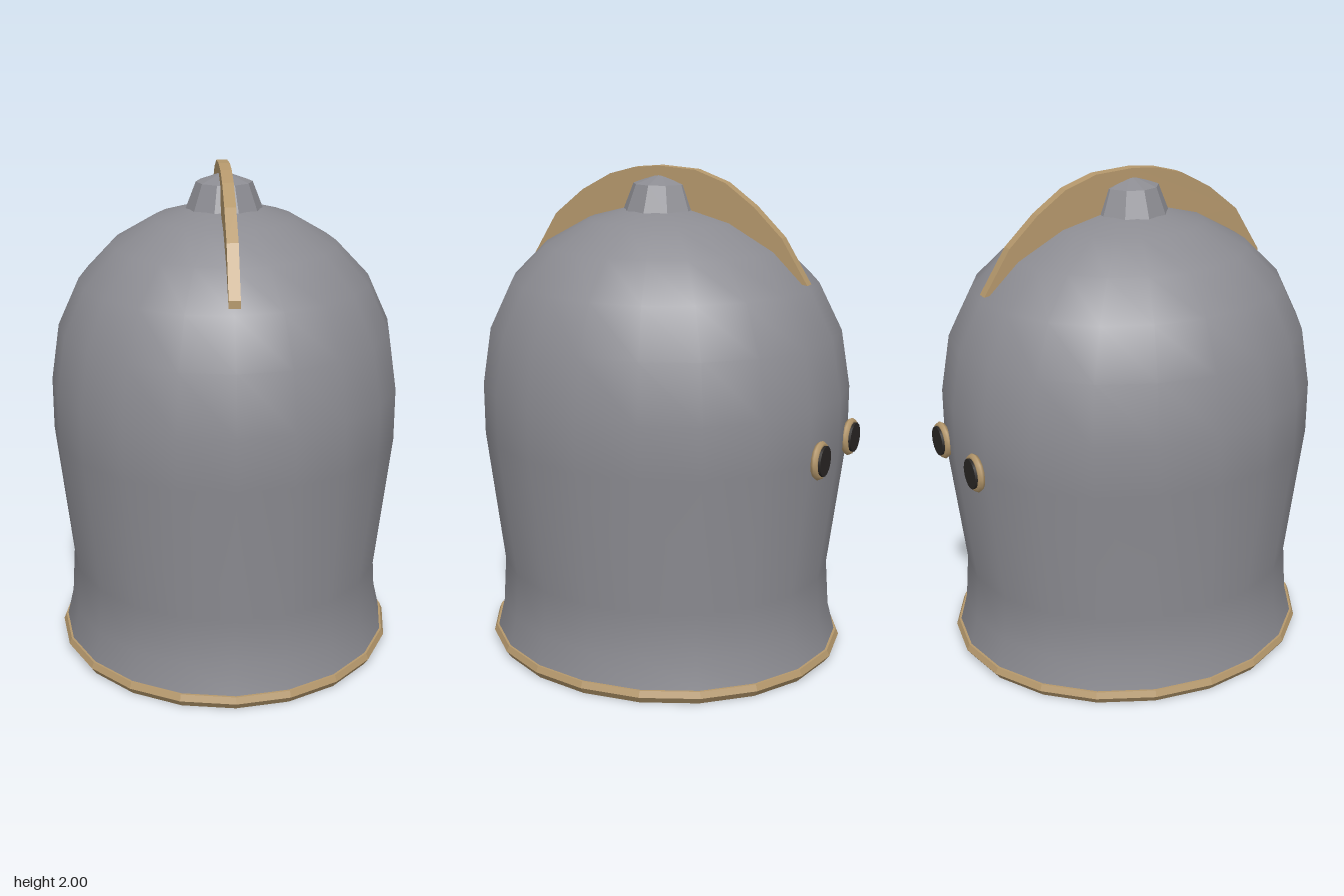
import * as THREE from 'three';
import { mergeVertices } from 'three/addons/utils/BufferGeometryUtils.js';

const SIDES = 20;
const CENTRE_Z = 0.02;

function part(name, geometry, color, flatShading = false) {
  const material = new THREE.MeshStandardMaterial({ color, flatShading });
  const mesh = new THREE.Mesh(geometry, material);
  mesh.name = name;
  return mesh;
}

// Lathe with an oval plan, a little deeper at the back than at the front
function ovalLathe(profile) {
  let geometry = new THREE.LatheGeometry(profile.map(([r, y]) => new THREE.Vector2(r, y)), SIDES);
  geometry.deleteAttribute('uv');
  geometry.deleteAttribute('normal');
  const pos = geometry.attributes.position;
  for (let i = 0; i < pos.count; i++) {
    const z = pos.getZ(i);
    pos.setZ(i, z * (z > 0 ? 1.057 : 1.11) + CENTRE_Z);
  }
  geometry = mergeVertices(geometry, 1e-4);
  geometry.computeVertexNormals();
  return geometry;
}

export function createModel() {
  const model = new THREE.Group();
  model.name = 'helmet';
  const steel = 0x8c8c92, brass = 0xb5986c, leather = 0x7d5c42, dark = 0x2a2725;

  // Domed shell and its lining
  const profile = [
    [0.685, 0.04], [0.655, 0.17], [0.643, 0.36], [0.705, 0.92], [0.705, 1.13],
    [0.67, 1.36], [0.583, 1.55], [0.45, 1.69], [0.28, 1.79], [0.13, 1.832], [0, 1.84],
  ];
  model.add(part('shell', ovalLathe(profile), steel));
  const inner = profile.map(([r, y], i) => [Math.max(r - 0.03, 0), i > 4 ? y - 0.03 : y]).reverse();
  model.add(part('lining', ovalLathe(inner), leather));

  // Bevelled band around the opening
  const band = [[0.65, 0], [0.68, 0], [0.7, 0.03], [0.69, 0.055], [0.645, 0.055], [0.65, 0]];
  model.add(part('rim', ovalLathe(band), brass, true));

  // Ten-sided knob with a shallow pointed cap
  const knobProfile = [[0.155, 1.82], [0.112, 1.93], [0, 1.97]].map(([r, y]) => new THREE.Vector2(r, y));
  const knobGeometry = new THREE.LatheGeometry(knobProfile, 10, Math.PI / 2);
  const knob = part('knob', knobGeometry, steel, true);
  knob.position.z = CENTRE_Z;
  model.add(knob);

  // Thin crest running front to back, its lower edge sunk into the dome
  const crestOutline = [
    [0.615, 1.57], [0.615, 1.6], [0.5, 1.785], [0.37, 1.89], [0.24, 1.96], [0.13, 1.99],
    [0.02, 2], [-0.14, 1.99], [-0.27, 1.945], [-0.39, 1.86], [-0.51, 1.745], [-0.62, 1.57],
    [-0.45, 1.6], [-0.25, 1.71], [0, 1.75], [0.25, 1.71], [0.45, 1.6],
  ];
  const crestShape = new THREE.Shape(crestOutline.map(([z, y]) => new THREE.Vector2(z, y)));
  const crestGeometry = new THREE.ExtrudeGeometry(crestShape, { depth: 0.044, bevelEnabled: false });
  crestGeometry.translate(0, 0, -0.022).rotateY(-Math.PI / 2);
  model.add(part('crest', crestGeometry, brass, true));

  // Pair of ringed eye holes on the back
  for (const side of [1, -1]) {
    const eye = new THREE.Group();
    eye.name = side > 0 ? 'leftEyelet' : 'rightEyelet';
    eye.add(part('eyeletRing', new THREE.TorusGeometry(0.062, 0.015, 6, 16), brass));
    const hole = part('eyeletHole', new THREE.CylinderGeometry(0.06, 0.06, 0.03, 16), dark);
    hole.rotation.x = Math.PI / 2;
    hole.position.z = 0.008;
    eye.add(hole);
    eye.position.set(side * 0.175, 0.93, -0.75);
    eye.rotation.y = Math.PI;
    model.add(eye);
  }

  return model;
}
